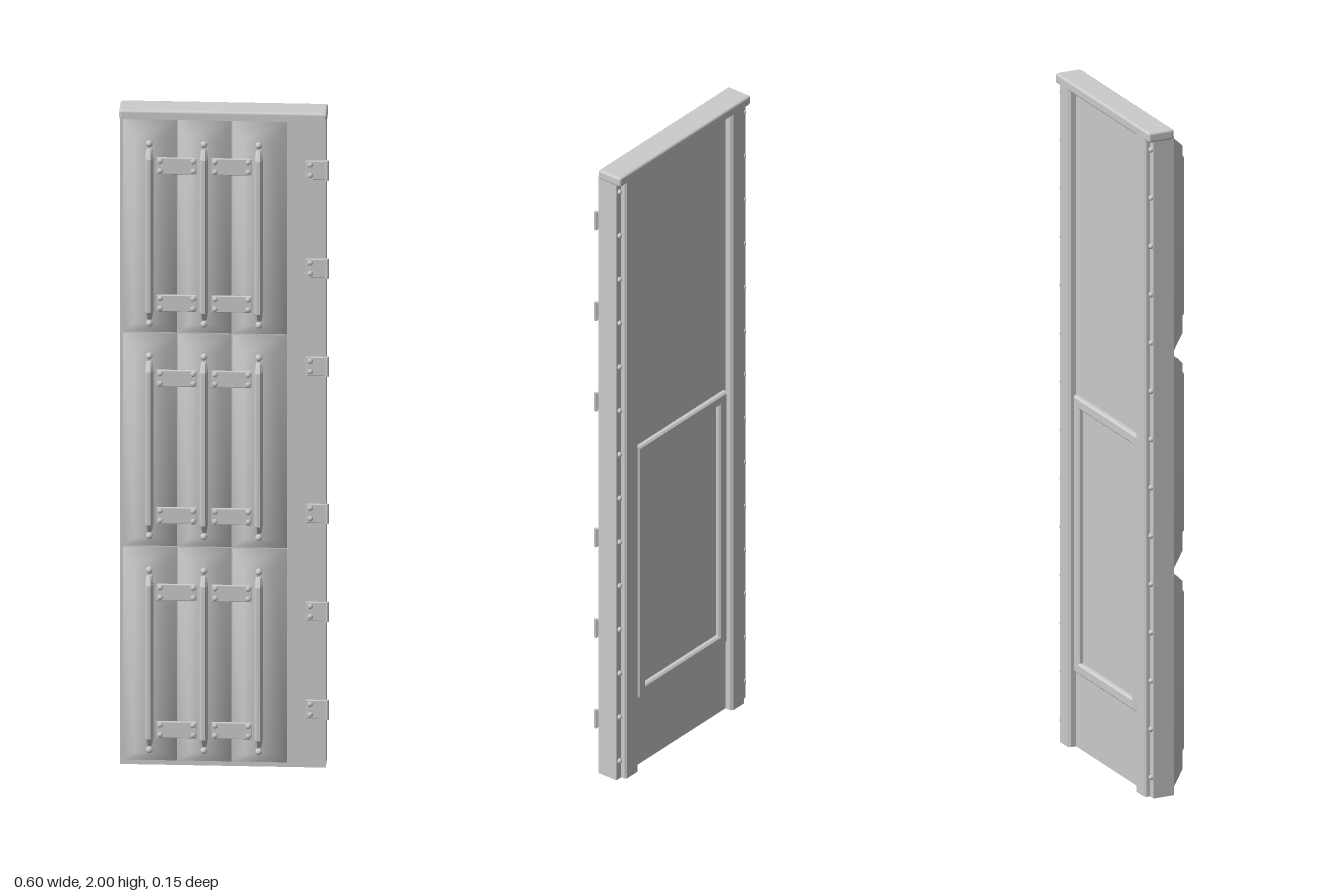
import * as THREE from 'three';
import { RoundedBoxGeometry } from 'three/addons/geometries/RoundedBoxGeometry.js';

const grey = new THREE.MeshStandardMaterial({ color: 0xcccccc });
const CX = -0.005; // centre of the slab
const FRONT = 0.003, CREST = 0.052;

function add(parent, name, geometry, x = 0, y = 0, z = 0) {
  const mesh = new THREE.Mesh(geometry, grey);
  mesh.name = name;
  mesh.position.set(x, y, z);
  parent.add(mesh);
  return mesh;
}

// Slab cross-section (x, z): rebated outer corners, two back posts, recessed panel
function slabGeometry(height) {
  const half = [
    [0.292, FRONT], [0.292, -0.061], [0.27, -0.061], [0.27, -0.073],
    [0.265, -0.078], [0.217, -0.078], [0.21, -0.071], [0.21, -0.054],
  ];
  const outline = [...half, ...half.map(([x, z]) => [-x, z]).reverse()];
  const shape = new THREE.Shape(outline.map(([x, z]) => new THREE.Vector2(x, -z)));
  return new THREE.ExtrudeGeometry(shape, { depth: height, bevelEnabled: false }).rotateX(-Math.PI / 2);
}

// Smooth-shaded frustum rising from the front face
function frustumGeometry(x0, x1, y0, y1, slopeX, slopeY) {
  const ring = (dx, dy, z) => [
    x0 + dx, y0 + dy, z, x1 - dx, y0 + dy, z, x1 - dx, y1 - dy, z, x0 + dx, y1 - dy, z,
  ];
  const index = [4, 5, 6, 4, 6, 7];
  for (let i = 0; i < 4; i++) {
    const j = (i + 1) % 4;
    index.push(i, j, j + 4, i, j + 4, i + 4);
  }
  const g = new THREE.BufferGeometry();
  g.setAttribute('position', new THREE.Float32BufferAttribute(
    [...ring(0, 0, FRONT - 0.002), ...ring(slopeX, slopeY, CREST)], 3));
  g.setIndex(index);
  g.computeVertexNormals();
  return g;
}

// Raised rib with a tapered section, dropping down at both ends
function ribGeometry(length) {
  const shape = new THREE.Shape([
    [-0.009, -0.003], [0.009, -0.003], [0.012, 0.005], [0.011, 0.014],
    [0.005, 0.024], [-0.005, 0.024], [-0.011, 0.014], [-0.012, 0.005],
  ].map(p => new THREE.Vector2(...p)));
  const g = new THREE.ExtrudeGeometry(shape, { depth: length, steps: 20, bevelEnabled: false });
  g.translate(0, 0, -length / 2).rotateX(Math.PI / 2);
  const p = g.attributes.position;
  for (let i = 0; i < p.count; i++) {
    if (Math.abs(p.getY(i)) > length / 2 - 0.001) {
      p.setZ(i, p.getZ(i) * 0.35);
      p.setX(i, p.getX(i) * 0.7);
    }
  }
  g.computeVertexNormals();
  return g;
}

const stud = (r, flat = 0.6) => new THREE.SphereGeometry(r, 10, 8).scale(1, 1, flat);

// Rectangular plate fixed by a rivet near each listed point
function rivetedPlate(name, w, h, d, rivets) {
  const group = new THREE.Group();
  group.name = name;
  add(group, 'plate', new RoundedBoxGeometry(w, h, d, 2, d * 0.3));
  for (const [x, y] of rivets) add(group, 'rivet', stud(0.008), x, y, d / 2);
  return group;
}

export function createModel() {
  const model = new THREE.Group();
  model.name = 'armouredPanel';

  add(model, 'slab', slabGeometry(1.98), CX, 0, 0);
  add(model, 'topCap', new RoundedBoxGeometry(0.59, 0.03, 0.081, 3, 0.007), CX, 1.985, -0.0375);

  // Three rows of three raised ridges with ribs, studs and bridging plates
  const rowEdges = [0.012, 0.668, 1.322, 1.975];
  const rowCentres = [0.34, 0.995, 1.645];
  const ribs = [-0.212, -0.057, 0.099];
  const columnEdges = [-0.29, -0.134, 0.021, 0.178];
  rowCentres.forEach((cy, r) => {
    const row = new THREE.Group();
    row.name = `ridgeRow${r + 1}`;
    model.add(row);
    ribs.forEach((x, c) => {
      add(row, 'ridge', frustumGeometry(columnEdges[c], columnEdges[c + 1],
        rowEdges[r], rowEdges[r + 1], 0.036, 0.045));
      add(row, 'rib', ribGeometry(0.52), x, cy, CREST);
      for (const s of [-1, 1]) add(row, 'stud', stud(0.01, 1), x, cy + s * 0.275, CREST);
    });
    for (const x of [-0.134, 0.022]) {
      for (const s of [-1, 1]) {
        const plate = rivetedPlate('bridgePlate', 0.114, 0.05, 0.008,
          [[-0.047, 0.015], [0.047, 0.015], [-0.047, -0.015], [0.047, -0.015]]);
        plate.position.set(x, cy + s * 0.21, CREST + 0.005);
        row.add(plate);
      }
    }
  });

  // Hinges along one front edge
  for (const y of [0.18, 0.48, 0.78, 1.23, 1.53, 1.83]) {
    const hinge = rivetedPlate('hinge', 0.058, 0.056, 0.007, [[-0.017, 0.016], [-0.017, -0.016]]);
    add(hinge, 'hingeBarrel', new THREE.CylinderGeometry(0.005, 0.005, 0.06, 10), 0.031, 0, 0.003);
    hinge.position.set(0.26, y, 0.007);
    model.add(hinge);
  }

  // Rows of bolts in the rebates beside the back posts
  for (const s of [-1, 1]) {
    for (let i = 0; i < 14; i++) {
      add(model, 'edgeBolt', stud(0.008, 1), CX + s * 0.28, 0.06 + i * 0.145, -0.063);
    }
  }

  // Back hatch: raised frame with bevelled edges
  const rect = (C, w, h) => new C([[-w, -h], [w, -h], [w, h], [-w, h]].map(p => new THREE.Vector2(...p)));
  const frame = rect(THREE.Shape, 0.195, 0.41);
  frame.holes.push(rect(THREE.Path, 0.172, 0.387));
  add(model, 'hatchFrame', new THREE.ExtrudeGeometry(frame, {
    depth: 0.01, bevelEnabled: true, bevelSize: 0.005, bevelThickness: 0.005, bevelSegments: 1,
  }), CX, 0.645, -0.064);

  return model;
}
